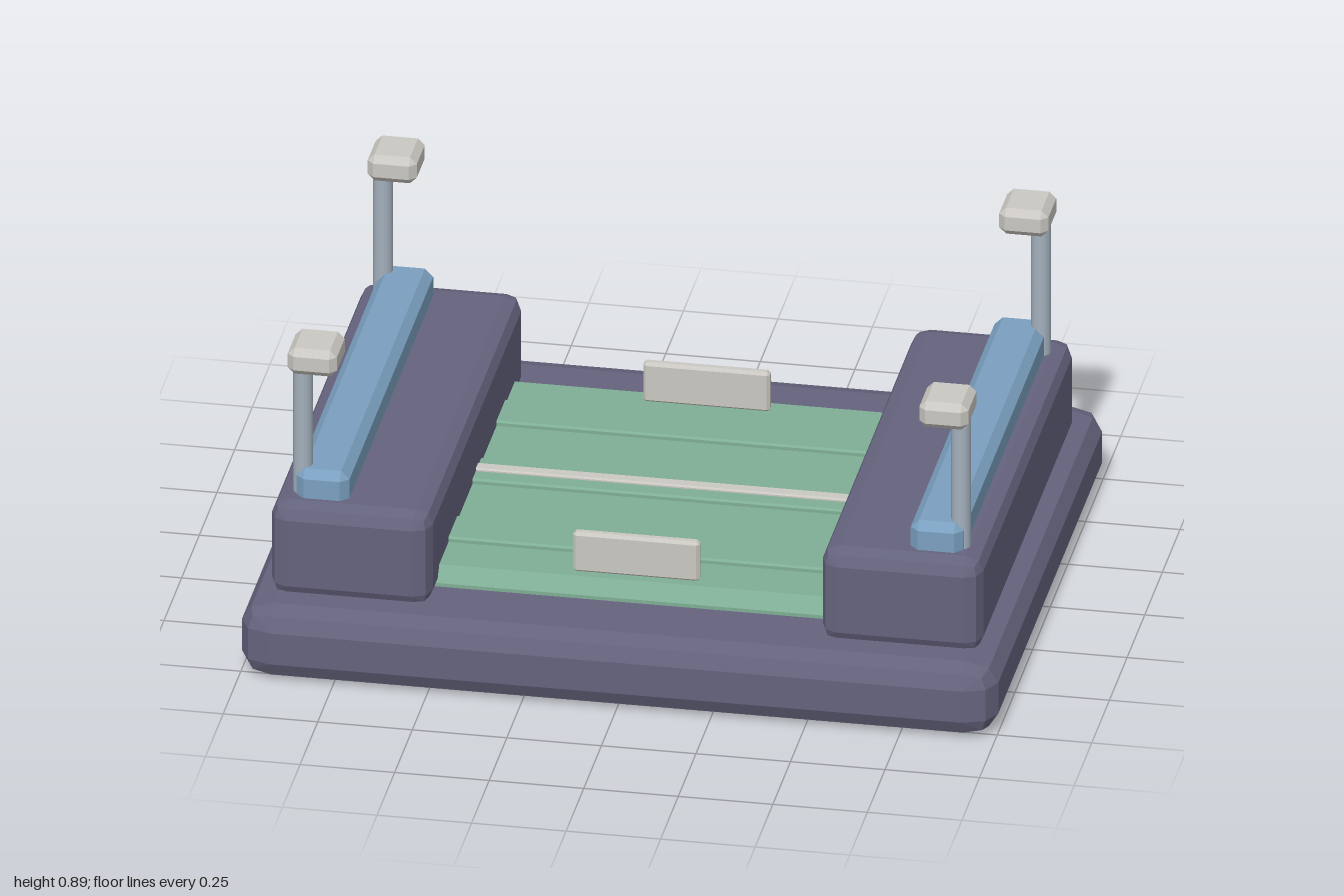
import * as THREE from 'three';
import { ConvexGeometry } from 'three/addons/geometries/ConvexGeometry.js';

const paint = (name, color) => {
  const m = new THREE.MeshStandardMaterial({ color });
  m.name = name;
  return m;
};

// Box with bevelled edges: one facet per edge, or two when round is true
function bevelBox(w, h, d, [bx, by, bz], round = false) {
  const dirs = [[1, 0, 0], [0, 1, 0], [0, 0, 1]];
  if (round) dirs.push([1, 1, 0], [1, 0, 1], [0, 1, 1], [1, 1, 1]);
  const points = [];
  for (const sx of [-1, 1]) for (const sy of [-1, 1]) for (const sz of [-1, 1]) {
    for (const dir of dirs) {
      const o = new THREE.Vector3(...dir).normalize();
      points.push(new THREE.Vector3(
        sx * (w / 2 - bx + o.x * bx),
        sy * (h / 2 - by + o.y * by),
        sz * (d / 2 - bz + o.z * bz)));
    }
  }
  return new ConvexGeometry(points);
}

export function createModel() {
  const purple = paint('slate purple', 0x65637d);
  const green = paint('sage green', 0x7fae95);
  const blue = paint('dusty blue', 0x7a9fbf);
  const steel = paint('steel', 0xa3b0bd);
  const pale = paint('pale grey', 0xcac7c1);

  const model = new THREE.Group();
  model.name = 'platform';
  const add = (name, geometry, material, x, y, z) => {
    const mesh = new THREE.Mesh(geometry, material);
    mesh.name = name;
    mesh.position.set(x, y, z);
    model.add(mesh);
  };

  // Base slab
  add('base', bevelBox(2, 0.2, 1.61, [0.085, 0.055, 0.07], true), purple, 0, 0.1, 0);

  // Green floor with sloped front and back edges
  add('floor', bevelBox(1.1, 0.11, 1.13, [0.01, 0.04, 0.03]), green, 0, 0.195, 0);

  // Raised floor slats
  for (const z of [-0.34, 0, 0.34]) {
    add('floorSlat', bevelBox(1.1, 0.04, 0.13, [0.005, 0.005, 0.005]), green, 0, 0.244, z);
  }

  // Centre line strip
  add('centreStrip', bevelBox(1.06, 0.03, 0.036, [0.004, 0.004, 0.004]), pale, 0, 0.257, 0);

  // Upright plates at the front and back of the floor
  for (const z of [-0.497, 0.497]) {
    add('endPlate', bevelBox(0.335, 0.115, 0.03, [0.008, 0.008, 0.008]), pale, 0, 0.305, z);
  }

  // Side banks, rails, corner posts and caps
  const bank = bevelBox(0.425, 0.27, 1.35, [0.045, 0.04, 0.05], true);
  const rail = bevelBox(0.14, 0.1, 1.23, [0.022, 0.022, 0.022]);
  const post = new THREE.CylinderGeometry(0.026, 0.026, 0.42, 12);
  const cap = bevelBox(0.13, 0.075, 0.148, [0.018, 0.018, 0.018]);
  for (const side of [-1, 1]) {
    const label = side > 0 ? 'left' : 'right';
    add(label + 'Bank', bank, purple, side * 0.728, 0.315, 0);
    add(label + 'Rail', rail, blue, side * 0.812, 0.477, 0);
    for (const z of [-0.566, 0.566]) {
      add(label + 'Post', post, steel, side * 0.87, 0.635, z);
      add(label + 'PostCap', cap, pale, side * 0.835, 0.852, z);
    }
  }
  return model;
}
